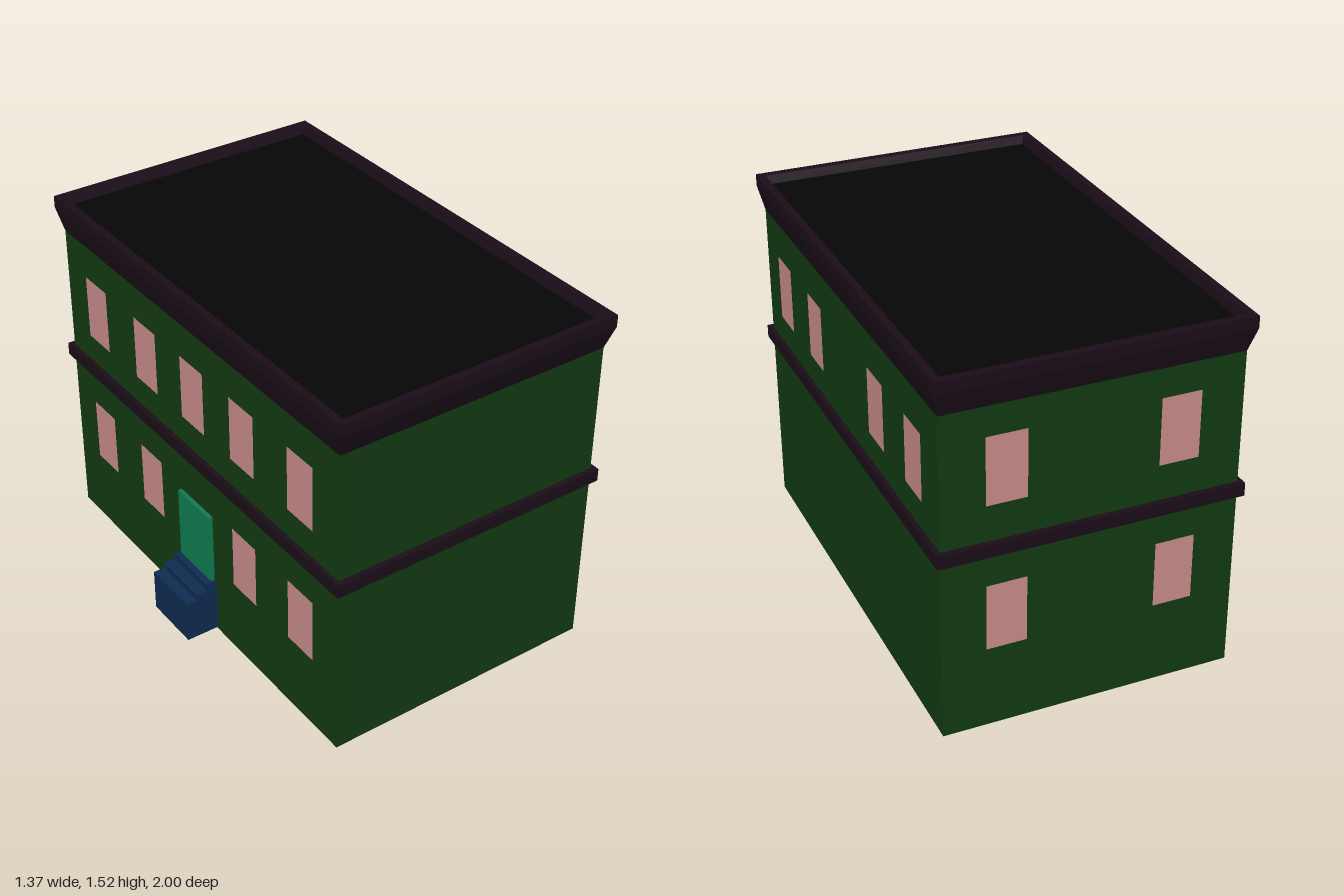
import * as THREE from 'three';

// Wall footprint
const X0 = -0.54, X1 = 0.66, Z = 0.966;

const mat = (color, side = THREE.FrontSide) => new THREE.MeshStandardMaterial({ color, side });

// Surface swept around the footprint; profile points are [outset x, outset z, y]
function rectLoft(profile) {
  const rings = profile.map(([dx, dz, y]) => [
    [X1 + dx, y, Z + dz], [X1 + dx, y, -Z - dz], [X0 - dx, y, -Z - dz], [X0 - dx, y, Z + dz],
  ]);
  const pos = [];
  for (let i = 0; i < rings.length - 1; i++) {
    for (let k = 0; k < 4; k++) {
      const n = (k + 1) % 4;
      const a = rings[i][k], b = rings[i][n], c = rings[i + 1][n], d = rings[i + 1][k];
      pos.push(...a, ...b, ...c, ...a, ...c, ...d);
    }
  }
  const geo = new THREE.BufferGeometry();
  geo.setAttribute('position', new THREE.Float32BufferAttribute(pos, 3));
  geo.computeVertexNormals();
  return geo;
}

export function createModel() {
  const model = new THREE.Group();
  const green = mat(0x123a12, THREE.DoubleSide);
  const trim = mat(0x1a0d18, THREE.DoubleSide);
  const roofMat = mat(0x060606, THREE.DoubleSide);
  const pink = mat(0xc88a8a);
  const blue = mat(0x0d2b50);
  const teal = mat(0x0f7a50);

  const add = (name, geo, material, x = 0, y = 0, z = 0, parent = model) => {
    const mesh = new THREE.Mesh(geo, material);
    mesh.name = name;
    mesh.position.set(x, y, z);
    parent.add(mesh);
    return mesh;
  };

  // Hollow walls, open underneath, split by the storey band
  add('lowerWalls', rectLoft([[0, 0, 0], [0, 0, 0.765]]), green);
  add('upperWalls', rectLoft([[0, 0, 0.82], [0, 0, 1.37]]), green);
  add('storeyBand', rectLoft([
    [0, 0, 0.765], [0.02, 0.024, 0.765], [0.02, 0.024, 0.82], [0, 0, 0.82],
  ]), trim);

  // Flared cornice with a raised rim around the flat roof
  add('cornice', rectLoft([
    [0, 0, 1.37], [0.022, 0.034, 1.47], [0.022, 0.034, 1.52],
    [-0.01, 0, 1.52], [-0.022, -0.012, 1.485],
  ]), trim);
  const roof = new THREE.PlaneGeometry(X1 - X0 - 0.044, 2 * Z - 0.024).rotateX(-Math.PI / 2);
  add('roof', roof, roofMat, (X0 + X1) / 2, 1.485, 0);

  // Windows lie almost flush on three sides
  const windows = new THREE.Group();
  windows.name = 'windows';
  model.add(windows);
  const pane = new THREE.PlaneGeometry(0.162, 0.28);
  const addWindow = (x, y, z, turn) => {
    add('window', pane, pink, x, y, z, windows).rotation.y = turn;
  };
  const gap = 0.003;
  for (const z of [-0.728, -0.346, 0.346, 0.728]) {
    addWindow(X1 + gap, 1.08, z, Math.PI / 2);
    addWindow(X0 - gap, 1.085, z, -Math.PI / 2);
    addWindow(X0 - gap, 0.47, z, -Math.PI / 2);
  }
  addWindow(X0 - gap, 1.085, 0, -Math.PI / 2); // above the door
  for (const x of [-0.283, 0.403]) {
    for (const y of [0.49, 1.11]) addWindow(x, y, -Z - gap, Math.PI);
  }

  // Door on the right-hand wall
  add('door', new THREE.BoxGeometry(0.018, 0.32, 0.23), teal, X0 - 0.009, 0.41, 0);

  // Stair block: stepped outline extruded along z
  const outline = [
    [-0.54, 0.01], [-0.54, 0.25], [-0.585, 0.25], [-0.585, 0.222],
    [-0.635, 0.222], [-0.635, 0.196], [-0.685, 0.196], [-0.685, 0.01],
  ].map(([x, y]) => new THREE.Vector2(x, y));
  const stairs = new THREE.ExtrudeGeometry(new THREE.Shape(outline), { depth: 0.256, bevelEnabled: false });
  add('steps', stairs, blue, 0, 0, -0.126);

  return model;
}
